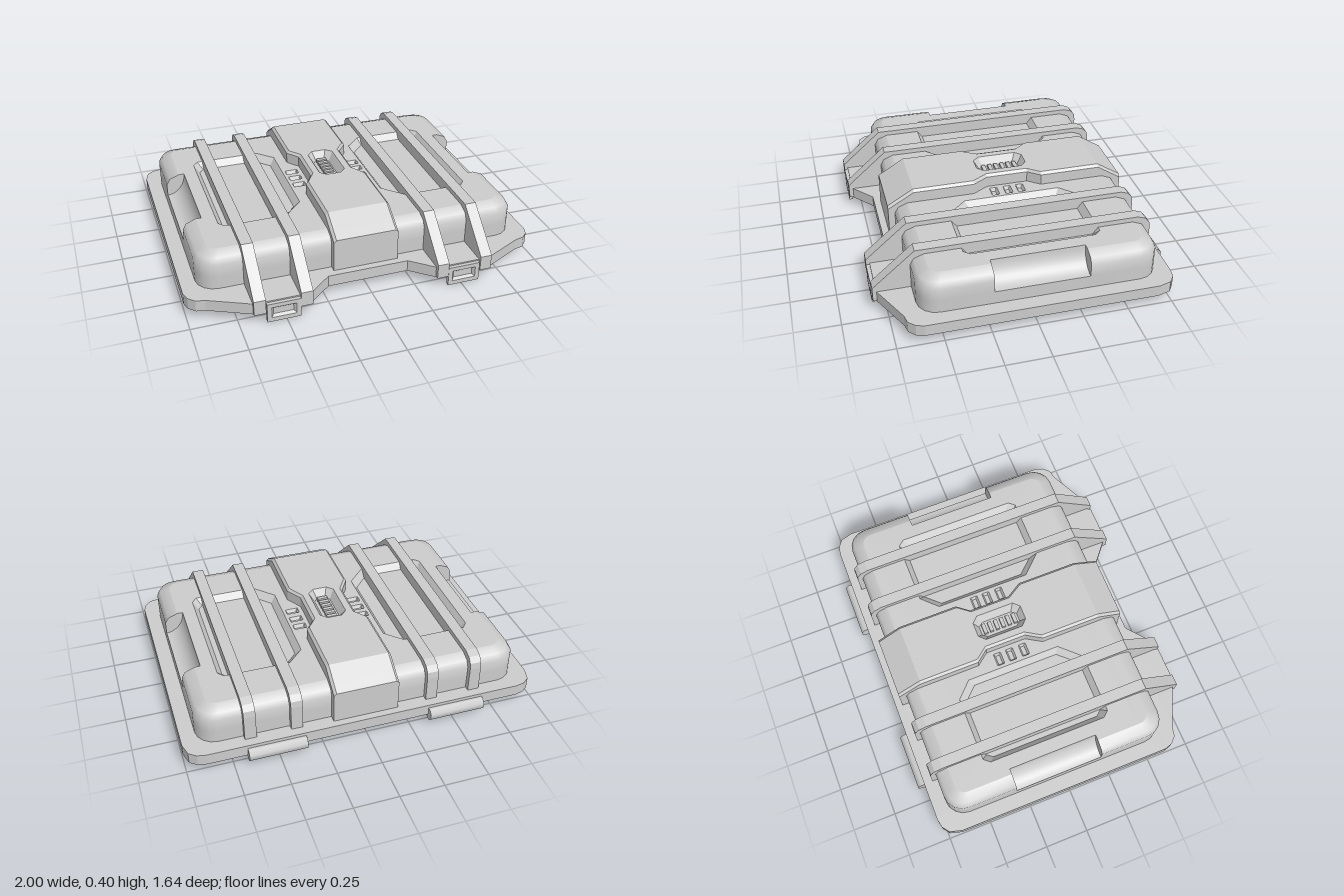
import * as THREE from 'three';
import { toCreasedNormals } from 'three/addons/utils/BufferGeometryUtils.js';

const grey = new THREE.MeshStandardMaterial({ color: 0xcccccc, side: THREE.DoubleSide });
grey.name = 'case grey';

// ---- helpers: outlines are [x, z] lists, counter-clockwise seen from above
const toShape = (pts, holes = [], sign = -1) => {
  const vec = (list) => list.map(([x, z]) => new THREE.Vector2(x, sign * z));
  const shape = new THREE.Shape(vec(pts));
  holes.forEach((h) => shape.holes.push(new THREE.Path(vec(h))));
  return shape;
};
const faceUp = (pts, y, holes) =>
  new THREE.ShapeGeometry(toShape(pts, holes)).rotateX(-Math.PI / 2).translate(0, y, 0);
const faceDown = (pts, y) =>
  new THREE.ShapeGeometry(toShape(pts, [], 1)).rotateX(Math.PI / 2).translate(0, y, 0);
const plate = (pts, y0, y1, holes) =>
  new THREE.ExtrudeGeometry(toShape(pts, holes), { depth: y1 - y0, bevelEnabled: false })
    .rotateX(-Math.PI / 2).translate(0, y0, 0);
const at = (pts, y) => pts.map(([x, z]) => [x, y, z]);
const flipX = (pts) => pts.map(([x, z]) => [-x, z]).reverse();

// Skin between successive sections of equal length
function loft(rings, closed = true, skip = () => false) {
  const pos = [];
  for (let i = 0; i < rings.length - 1; i++) {
    const n = rings[i].length;
    for (let j = 0; j < (closed ? n : n - 1); j++) {
      if (skip(i, j)) continue;
      const k = (j + 1) % n;
      const [a, b, c, d] = [rings[i][j], rings[i][k], rings[i + 1][k], rings[i + 1][j]];
      pos.push(...a, ...b, ...c, ...a, ...c, ...d);
    }
  }
  const g = new THREE.BufferGeometry();
  g.setAttribute('position', new THREE.Float32BufferAttribute(pos, 3));
  g.computeVertexNormals();
  return g;
}

// Rounded rectangle; notch adds two points on each long side
function roundRect(x, z0, z1, r, notch) {
  const pts = [];
  const centres = [[x - r, z0 + r], [r - x, z0 + r], [r - x, z1 - r], [x - r, z1 - r]];
  centres.forEach(([cx, cz], k) => {
    for (let i = 0; i <= 4; i++) {
      const a = (k + i / 4) * Math.PI / 2;
      pts.push([cx + r * Math.cos(a), cz - r * Math.sin(a)]);
    }
    if (notch && k === 1) pts.push([-x, notch[0]], [-x, notch[1]]);
    if (notch && k === 3) pts.push([x, notch[1]], [x, notch[0]]);
  });
  return pts;
}

function inset(pts, d) {
  const box = new THREE.Box2().setFromPoints(pts.map(([x, z]) => new THREE.Vector2(x, z)));
  const c = box.getCenter(new THREE.Vector2());
  const s = box.getSize(new THREE.Vector2()).multiplyScalar(0.5);
  return pts.map(([x, z]) => [c.x + (x - c.x) * (1 - d / s.x), c.y + (z - c.y) * (1 - d / s.y)]);
}

// Chamfered rectangle
const octagon = (x0, x1, z0, z1, c) => [
  [x1, z1 - c], [x1, z0 + c], [x1 - c, z0], [x0 + c, z0],
  [x0, z0 + c], [x0, z1 - c], [x0 + c, z1], [x1 - c, z1]];

export function createModel() {
  const model = new THREE.Group();
  model.name = 'caseLid';
  const add = (name, geometry) => {
    const mesh = new THREE.Mesh(geometry, grey);
    mesh.name = name;
    model.add(mesh);
    return mesh;
  };
  const recess = (name, outline, y, depth, slope) => {
    const floor = inset(outline, slope);
    add(name + 'Walls', loft([at(outline, y), at(floor, y - depth)]));
    add(name + 'Floor', faceUp(floor, y - depth));
  };

  // Flange with two front tongues; a seal groove runs round its underside
  const opening = roundRect(0.857, -0.645, 0.557, 0.07);
  const half = [[0.23, 0.69], [0.36, 0.8], [0.67, 0.8], [0.9, 0.69], [0.95, 0.68], [0.985, 0.645],
    [1, 0.6], [1, -0.67], [0.98, -0.74], [0.94, -0.77], [0.89, -0.78]];
  const outline = [...half, ...flipX(half)];
  add('flange', plate(outline, 0.08, 0.12, [opening]));
  add('flangeEdge', plate(outline, 0.054, 0.08, [roundRect(0.94, -0.725, 0.635, 0.11)]));
  add('sealLip', plate(roundRect(0.91, -0.695, 0.605, 0.1), 0.054, 0.08, [opening]));

  // Hollow underneath
  const ceiling = inset(opening, 0.01);
  add('cavityWalls', toCreasedNormals(loft([at(ceiling, 0.18), at(opening, 0.08)]), 0.6));
  add('cavityCeiling', faceDown(ceiling, 0.18));

  // Raised shell, open at the side grips
  const grip = [-0.305, 0.215];
  const layers = [[0, 0.11], [0, 0.195], [0, 0.265], [0.02, 0.3], [0.075, 0.322]];
  const ringAt = (d) => roundRect(0.917 - d, -0.7 + d, 0.612 - d, 0.11 - d * 0.7, grip);
  const shell = loft(layers.map(([d, y]) => at(ringAt(d), y)), true,
    (i, j) => i > 0 && (j === 10 || j === 22));
  add('shellSides', toCreasedNormals(shell, 0.8));

  // Shell top with holes for panels and vents
  const panel = [[0.735, 0.3], [0.735, -0.39], [0.705, -0.425], [0.335, -0.425],
    [0.245, -0.335], [0.245, 0.22], [0.355, 0.335], [0.705, 0.335]];
  const vents = [-0.125, -0.05, 0.03].map((z) => octagon(0.153, 0.227, z - 0.022, z + 0.022, 0.004));
  const panels = [panel, flipX(panel)];
  const allVents = [...vents, ...vents.map(flipX)];
  const top = ringAt(0.075);
  top.splice(23, 0, [0.81, grip[1]], [0.81, grip[0]]);
  top.splice(11, 0, [-0.81, grip[0]], [-0.81, grip[1]]);
  add('shellTop', faceUp(top, 0.322, [...panels, ...allVents]));
  panels.forEach((p) => recess('sidePanel', p, 0.322, 0.04, 0.03));
  allVents.forEach((v) => recess('vent', v, 0.322, 0.02, 0.01));

  // Scooped side grips
  for (const s of [1, -1]) {
    const arc = [];
    for (let i = 0; i <= 8; i++) {
      const t = i / 8 * Math.PI / 2;
      arc.push([s * (0.917 - 0.107 * Math.cos(t)), 0.322 - 0.127 * Math.sin(t)]);
    }
    const edges = [grip[1], grip[0]].map((z) => arc.map(([x, y]) => [x, y, z]));
    if (s < 0) edges.reverse();
    add('gripScoop', toCreasedNormals(loft(edges, false), 0.5));
    const end = [...arc, [s * 0.917, 0.265], [s * 0.897, 0.3], [s * 0.842, 0.322]];
    grip.forEach((z) => add('gripEnd', new THREE.ShapeGeometry(toShape(end, [], 1)).translate(0, 0, z)));
  }

  // Waisted centre hump: z, half width, height, base
  const stations = [[-0.74, 0.185, 0.31, 0.11], [-0.695, 0.185, 0.339, 0.11], [-0.695, 0.185, 0.339, 0.27],
    [-0.6, 0.185, 0.4, 0.27], [-0.25, 0.185, 0.4, 0.27], [-0.18, 0.13, 0.4, 0.27],
    [0.06, 0.13, 0.4, 0.27], [0.15, 0.185, 0.4, 0.27], [0.5, 0.185, 0.4, 0.27],
    [0.605, 0.185, 0.337, 0.27], [0.605, 0.185, 0.337, 0.11], [0.65, 0.185, 0.31, 0.11]];
  const c = 0.015;
  const sections = stations.map(([z, w, h, b]) =>
    [[w, b, z], [w, h - c, z], [w - c, h, z], [c - w, h, z], [-w, h - c, z], [-w, b, z]]);
  add('hump', loft(sections, false, (i, j) => j === 2 && i >= 3 && i <= 7));
  [sections[0], sections[sections.length - 1]].forEach((s) =>
    add('humpEnd', new THREE.ShapeGeometry(toShape(s, [], 1)).translate(0, 0, s[0][2])));
  const humpSide = stations.slice(3, 9).map(([z, w]) => [w - c, z]).reverse();
  const slot = octagon(-0.077, 0.077, -0.195, 0.1, 0.035);
  add('humpTop', faceUp([...humpSide, ...flipX(humpSide)], 0.4, [slot]));
  recess('centreSlot', slot, 0.4, 0.05, 0.03);
  for (let i = 0; i < 6; i++) {
    add('slat', new THREE.BoxGeometry(0.06, 0.02, 0.022)).position.set(0, 0.36, -0.14 + i * 0.037);
  }

  // Strap ribs running front to back: [z, y] outline
  const rib = [[0.82, 0.06], [0.82, 0.145], [0.585, 0.35], [-0.655, 0.35], [-0.7, 0.335], [-0.725, 0.305],
    [-0.73, 0.27], [-0.73, 0.11], [-0.69, 0.11], [-0.67, 0.27], [0.58, 0.27], [0.6, 0.11], [0.78, 0.06]];
  const ribGeometry = new THREE.ExtrudeGeometry(toShape(rib, [], 1), { depth: 0.065, bevelEnabled: false })
    .rotateY(-Math.PI / 2).translate(0.0325, 0, 0);
  for (const s of [1, -1]) {
    for (const x of [0.3875, 0.6425]) add('rib', ribGeometry).position.x = s * x;

    // Front latch: frame with a sloped recess
    const cx = s * 0.513;
    const rect = (w, y0, y1) => [[cx - w, y0], [cx + w, y0], [cx + w, y1], [cx - w, y1]];
    const mouth = rect(0.068, 0.025, 0.088);
    const back = rect(0.055, 0.036, 0.074);
    add('latchFrame', new THREE.ExtrudeGeometry(toShape(rect(0.092, 0, 0.112), [mouth], 1),
      { depth: 0.022, bevelEnabled: false }).translate(0, 0, 0.798));
    add('latchRecess', loft([mouth.map((p) => [...p, 0.82]), back.map((p) => [...p, 0.803])]));
    add('latchBack', new THREE.ShapeGeometry(toShape(back, [], 1)).translate(0, 0, 0.803));

    // Rear hinge barrel
    add('hinge', new THREE.CylinderGeometry(0.04, 0.04, 0.32, 8).rotateY(Math.PI / 8)
      .rotateZ(Math.PI / 2)).position.set(cx, 0.064, -0.783);
  }
  return model;
}
